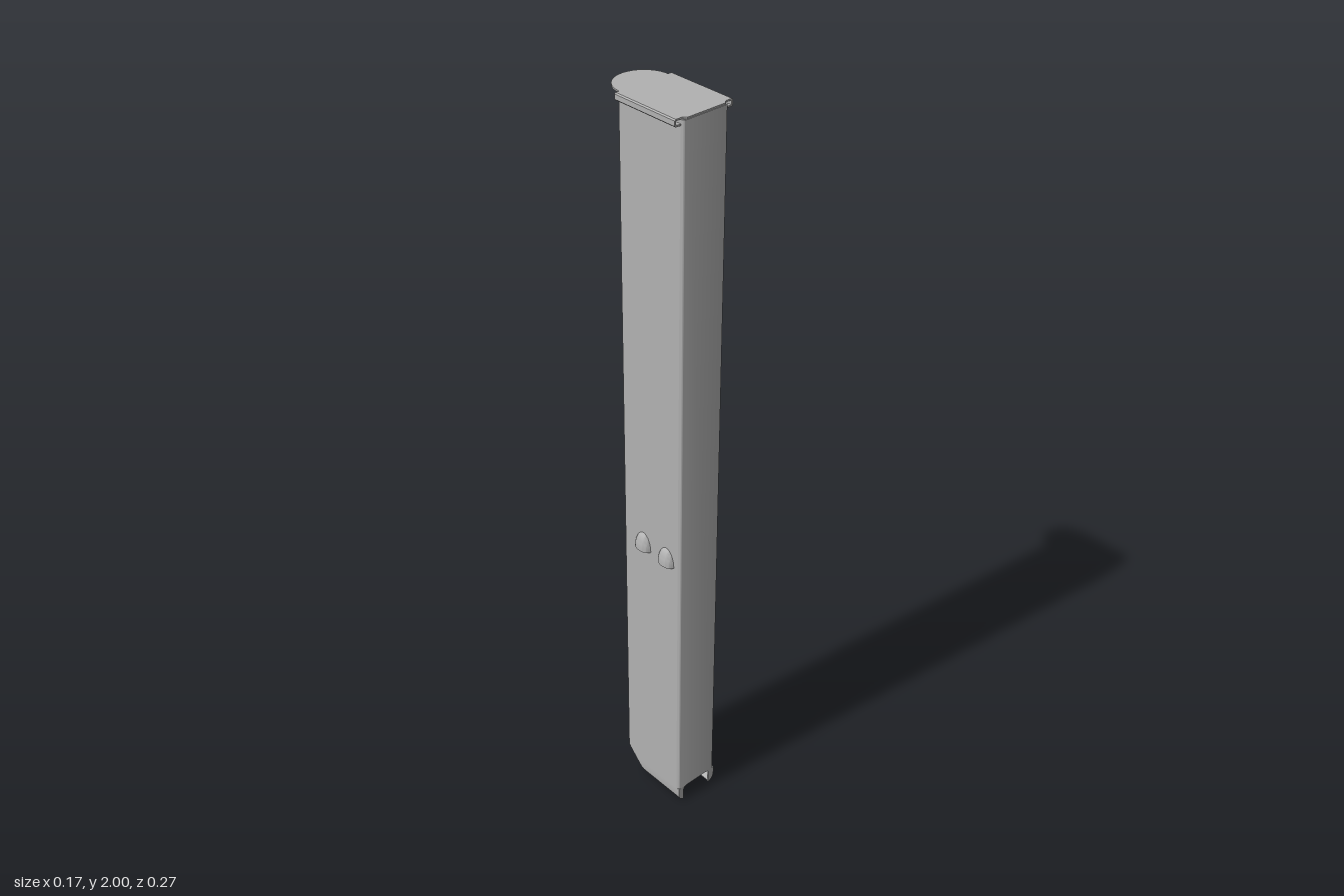
import * as THREE from 'three';
import { toCreasedNormals } from 'three/addons/utils/BufferGeometryUtils.js';

const T = 0.004, W = 0.065, FRONT = 0.133, BACK = -0.08, LIP_TOP = 0.045, TOP = 1.995;
const steel = new THREE.MeshStandardMaterial({ color: 0xb2b2b2, side: THREE.DoubleSide });
steel.name = 'grey steel';

const polygon = (pts) => new THREE.Shape(pts.map(([x, y]) => new THREE.Vector2(x, y)));
const extrude = (shape, depth) =>
  new THREE.ExtrudeGeometry(shape, { depth, bevelEnabled: false, curveSegments: 8 });

// Wall with two rounded corners, as a section seen from above
function channel(r, height) {
  const s = new THREE.Shape();
  s.moveTo(W, 0);
  s.absarc(W - r, 0, r, 0, Math.PI / 2);
  s.absarc(-W + r, 0, r, Math.PI / 2, Math.PI);
  s.lineTo(-W + T, 0);
  s.absarc(-W + r, 0, r - T, Math.PI, Math.PI / 2, true);
  s.absarc(W - r, 0, r - T, Math.PI / 2, 0, true);
  return extrude(s, height).rotateX(-Math.PI / 2);
}

function moveVertices(geo, rule) {
  const p = geo.attributes.position, v = new THREE.Vector3();
  for (let i = 0; i < p.count; i++) {
    rule(v.fromBufferAttribute(p, i));
    p.setXYZ(i, v.x, v.y, v.z);
  }
  geo.computeVertexNormals();
  return geo;
}

export function createModel() {
  const group = new THREE.Group();
  const add = (name, geo, parent = group) => {
    const mesh = new THREE.Mesh(toCreasedNormals(geo, 0.6), steel);
    mesh.name = name;
    parent.add(mesh);
    return mesh;
  };

  // Front wall
  const rf = 0.01, rb = 0.015;
  add('frontWall', channel(rf, TOP - LIP_TOP).rotateY(Math.PI).translate(0, LIP_TOP, FRONT - rf));

  // Back wall, its bottom cut on a 45 degree slope
  const back = channel(rb, TOP).translate(0, 0, BACK + rb);
  add('backWall', moveVertices(back, (v) => { if (v.y < 0.01) v.y = -v.z; }));

  for (const s of [1, -1]) {
    const side = s > 0 ? 'left' : 'right';

    // Side wall, drawn with -z to the right
    const wall = polygon([
      [-(FRONT - rf), LIP_TOP], [LIP_TOP, LIP_TOP], [-BACK - rb, -BACK - rb],
      [-BACK - rb, TOP], [-(FRONT - rf), TOP],
    ]);
    if (s > 0) {
      for (const y of [0.265, 0.59]) {
        const hole = new THREE.Path();
        hole.absarc(0, y + 0.014, 0.008, 0, Math.PI);
        hole.absarc(0, y - 0.014, 0.008, Math.PI, Math.PI * 2);
        wall.holes.push(hole);
      }
      wall.holes.push(polygon([[-0.12, 0.648], [-0.045, 0.646], [-0.045, 0.663], [-0.07, 0.668], [-0.12, 0.667]]));
    }
    add(side + 'Wall', extrude(wall, T).rotateY(Math.PI / 2).translate(s > 0 ? W - T : -W, 0, 0));

    // Lip curling inward along the bottom edge
    const lip = new THREE.Shape();
    lip.moveTo(s * W, LIP_TOP);
    lip.lineTo(s * W, 0.026);
    lip.quadraticCurveTo(s * W, 0.006, s * 0.047, 0);
    lip.lineTo(s * 0.046, T);
    lip.quadraticCurveTo(s * (W - T), 0.01, s * (W - T), 0.028);
    lip.lineTo(s * (W - T), LIP_TOP);
    const lipGeo = extrude(lip, FRONT - T + LIP_TOP).translate(0, 0, -LIP_TOP);
    add(side + 'Lip', moveVertices(lipGeo, (v) => { if (v.z < 0) v.z = -v.y; }));

    // Front leg beside the cutout
    const leg = new THREE.Shape();
    leg.moveTo(s * W, LIP_TOP);
    leg.lineTo(s * W, 0.026);
    leg.quadraticCurveTo(s * W, 0.006, s * 0.047, 0);
    leg.lineTo(s * 0.047, 0.033);
    leg.quadraticCurveTo(s * 0.046, 0.044, s * 0.035, LIP_TOP);
    add(side + 'FrontLeg', extrude(leg, T).translate(0, 0, FRONT - T));

    // Two stop bumps with flat undersides
    for (const z of [0.082, -0.003]) {
      const bump = new THREE.Group();
      bump.name = side + 'StopBump';
      bump.position.set(s * (W - 0.001), 0.804, z);
      if (s < 0) bump.rotation.y = Math.PI;
      add('bumpShell', new THREE.SphereGeometry(1, 20, 10, Math.PI / 2, Math.PI, 0, Math.PI / 2)
        .scale(0.017, 0.048, 0.027), bump);
      add('bumpUnderside', new THREE.CircleGeometry(1, 20, -Math.PI / 2, Math.PI)
        .rotateX(Math.PI / 2).scale(0.017, 1, 0.027), bump);
      group.add(bump);
    }

    // Folded rail along the cap edge
    const rail = polygon([
      [s * 0.069, 2], [s * 0.08, 2], [s * 0.083, 1.997], [s * 0.083, 1.985], [s * 0.08, 1.982],
      [s * 0.066, 1.982], [s * 0.066, 1.986], [s * 0.079, 1.986], [s * 0.079, 1.996], [s * 0.069, 1.996],
    ]);
    add(side + 'CapRail', extrude(rail, 0.188).translate(0, 0, -0.063));
  }

  // Small catch tab bent into the long slot
  const tab = add('catchTab', new THREE.BoxGeometry(0.003, 0.01, 0.05));
  tab.position.set(W - 0.005, 0.656, 0.088);
  tab.rotation.y = 0.12;

  // Cap plate with a rounded rear tongue, drawn with -z upward
  const cap = new THREE.Shape();
  cap.moveTo(0.055, -FRONT);
  cap.quadraticCurveTo(0.057, -0.126, 0.065, -0.125);
  cap.lineTo(0.08, -0.125);
  cap.lineTo(0.08, 0.063);
  cap.lineTo(0.07, 0.063);
  cap.absarc(0, 0.063, 0.07, 0, Math.PI);
  cap.lineTo(-0.08, 0.063);
  cap.lineTo(-0.08, -0.125);
  cap.lineTo(-0.065, -0.125);
  cap.quadraticCurveTo(-0.057, -0.126, -0.055, -FRONT);
  add('capPlate', new THREE.ExtrudeGeometry(cap, { depth: T, bevelEnabled: false, curveSegments: 24 })
    .rotateX(-Math.PI / 2).translate(0, 2 - T, 0));

  return group;
}
